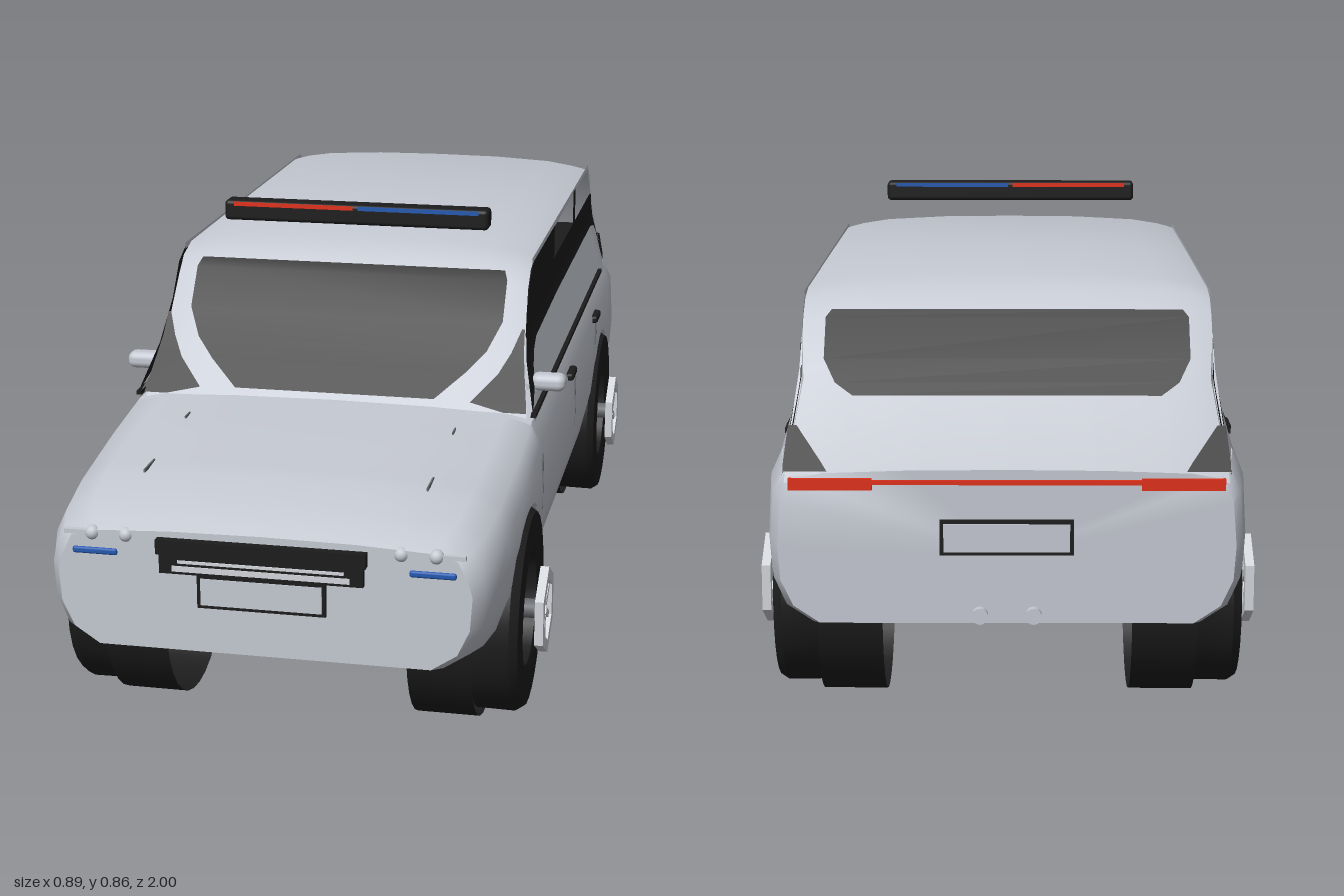
import * as THREE from 'three';
import { toCreasedNormals } from 'three/addons/utils/BufferGeometryUtils.js';
import { RoundedBoxGeometry } from 'three/addons/geometries/RoundedBoxGeometry.js';

const material = (name, color) => {
  const m = new THREE.MeshStandardMaterial({ color, side: THREE.DoubleSide });
  m.name = name;
  return m;
};
const silver = material('silver paint', 0xc4c8d1);
const black = material('black trim', 0x1c1c1c);
const grey = material('dark grey metal', 0x65686c);
const chrome = material('bright metal', 0xd2d5da);
const red = material('red', 0xe0301a);
const blue = material('blue', 0x2459b0);

// Surface through equal-length rows of [x, y, z] points
function grid(rows, crease = 0.6) {
  const n = rows[0].length, index = [];
  for (let i = 0; i < rows.length - 1; i++)
    for (let j = 0; j < n - 1; j++) {
      const a = i * n + j, b = a + n;
      index.push(a, a + 1, b, a + 1, b + 1, b);
    }
  const g = new THREE.BufferGeometry();
  g.setAttribute('position', new THREE.Float32BufferAttribute(rows.flat(2), 3));
  g.setIndex(index);
  return toCreasedNormals(g, crease);
}

// Piecewise linear lookup of column k in rows sorted by their first value
function lookup(table, t, k = 1) {
  let i = 0;
  while (i < table.length - 2 && t > table[i + 1][0]) i++;
  const [a, b] = [table[i], table[i + 1]];
  return THREE.MathUtils.mapLinear(t, a[0], b[0], a[k], b[k]);
}
const steps = n => Array.from({ length: n + 1 }, (_, i) => i / n);

const WHEEL_Y = 0.203, ARCH_R = 0.193, WHEEL_Z = [0.627, -0.627];

// Body sections: z, half width, bottom, shoulder height, centre height
const sections = [
  [-0.985, 0.385, 0.225, 0.475, 0.49], [-0.965, 0.398, 0.222, 0.49, 0.5],
  [-0.9, 0.408, 0.217, 0.505, 0.512], [-0.43, 0.41, 0.18, 0.51, 0.515],
  [0.43, 0.41, 0.18, 0.5, 0.518], [0.6, 0.41, 0.19, 0.48, 0.51],
  [0.8, 0.405, 0.205, 0.455, 0.495], [0.91, 0.395, 0.214, 0.44, 0.475],
  [0.96, 0.38, 0.219, 0.43, 0.455], [0.985, 0.362, 0.224, 0.422, 0.442],
];

// One body outline at z; inside a wheel arch the side is lifted to archY
function bodyRing([z, archY]) {
  const [w, b, s, t] = [1, 2, 3, 4].map(k => lookup(sections, z, k));
  const low = Math.max(archY, b), inner = archY ? 0.22 : w - 0.07;
  const half = [[inner, b], [inner, low], [w - 0.025, Math.max(low, b + 0.03)],
    [w - 0.004, Math.max(low, 0.3)], [w, Math.max(low, 0.36)], [w - 0.006, s - 0.04],
    [w - 0.025, s], [w - 0.075, s + (t - s) * 0.6], [w * 0.45, t - (t - s) * 0.1]];
  const mirrored = half.slice().reverse().map(([x, y]) => [-x, y]);
  return [[0, b], ...half, [0, t], ...mirrored, [0, b]].map(([x, y]) => [x, y, z]);
}

function bodyGeometry() {
  const stations = sections.map(s => [s[0], 0])
    .filter(([z]) => WHEEL_Z.every(c => Math.abs(z - c) > ARCH_R));
  for (const c of WHEEL_Z) {
    stations.push([c - ARCH_R - 0.001, 0], [c + ARCH_R + 0.001, 0]);
    for (const t of steps(16))
      stations.push([c - ARCH_R * Math.cos(t * Math.PI), WHEEL_Y + ARCH_R * Math.sin(t * Math.PI)]);
  }
  const rings = stations.sort((a, b) => a[0] - b[0]).map(bodyRing);
  const cap = r => r.map(p => [0, 0.34, p[2]]);
  return grid([cap(rings[0]), ...rings, cap(rings.at(-1))], 0.9);
}

export function createModel() {
  const car = new THREE.Group();
  car.name = 'car';
  const add = (name, geo, mat, x = 0, y = 0, z = 0, parent = car) => {
    const m = new THREE.Mesh(geo, mat);
    m.name = name;
    m.position.set(x, y, z);
    parent.add(m);
    return m;
  };
  const box = (name, mat, w, h, d, x, y, z, parent) =>
    add(name, new THREE.BoxGeometry(w, h, d), mat, x, y, z, parent);

  add('lowerBody', bodyGeometry(), silver);
  box('floorPan', blue, 0.67, 0.003, 0.86, 0, 0.179, 0);
  box('cabinFloor', black, 0.69, 0.006, 1.05, 0, 0.6, -0.34);

  // Windscreen frame, roof and tailgate in one curved skin: z, y, half width
  const profile = [
    [0.43, 0.515, 0.375], [0.35, 0.61, 0.357], [0.26, 0.73, 0.35], [0.225, 0.76, 0.35],
    [0.17, 0.775, 0.35], [-0.3, 0.777, 0.35], [-0.73, 0.777, 0.35], [-0.785, 0.767, 0.35],
    [-0.825, 0.742, 0.35], [-0.89, 0.662, 0.352], [-0.95, 0.56, 0.365], [-0.985, 0.485, 0.372],
  ];
  const across = [-1, -0.96, -0.9, -0.75, -0.4, 0, 0.4, 0.75, 0.9, 0.96, 1];
  add('roofSkin', grid(profile.map(([z, y, w]) => across.map(f => {
    const crown = y > 0.77 ? 0.008 * (1 - f * f) : 0;
    return [f * w, y + crown - 0.018 * f ** 6, z];
  })), 0.9), silver);

  // Glass follows the skin: y, inner x, outer x
  const frontZ = y => lookup([[0.515, 0.43], [0.61, 0.35], [0.73, 0.26], [0.76, 0.225]], y) + 0.006;
  const rearZ = y => lookup([[0.485, -0.985], [0.56, -0.95], [0.662, -0.89], [0.742, -0.825]], y) - 0.005;
  const glass = (name, rows, zAt) =>
    add(name, grid(rows.map(([y, a, b]) => [[a, y, zAt(y)], [b, y, zAt(y)]])), black);
  glass('windscreen', [[0.53, -0.195, 0.195], [0.575, -0.25, 0.25], [0.61, -0.285, 0.285],
    [0.66, -0.31, 0.31], [0.73, -0.31, 0.31], [0.745, -0.303, 0.303]], frontZ);
  glass('rearGlass', [[0.605, -0.26, 0.26], [0.625, -0.29, 0.29], [0.662, -0.31, 0.31],
    [0.725, -0.31, 0.31], [0.737, -0.3, 0.3]], rearZ);

  // Cabin sides: strips of z, low y, high y, tucked in towards the tail
  const sideX = (y, z) => 0.35 + Math.max(0, 0.63 - y) * 0.29 - Math.max(0, -0.88 - z) * 0.22;
  const strip = (name, mat, cols, s, out = 0) =>
    add(name, grid(cols.map(([z, lo, hi]) => steps(5).map(t => {
      const y = lo + (hi - lo) * t;
      return [s * (sideX(y, z) + out), y, z];
    }))), mat);

  for (const s of [1, -1]) {
    const side = s > 0 ? 'left' : 'right';
    glass(side + 'CornerGlass', [[0.515, s * 0.33, s * 0.374], [0.528, s * 0.265, s * 0.372],
      [0.575, s * 0.312, s * 0.363], [0.61, s * 0.333, s * 0.357], [0.65, s * 0.349, s * 0.354]], frontZ);
    glass(side + 'RearCornerGlass', [[0.488, s * 0.3, s * 0.373], [0.503, s * 0.31, s * 0.373],
      [0.56, s * 0.352, s * 0.366]], rearZ);
    strip(side + 'FrontWindow', black, [[0.425, 0.515, 0.525], [0.36, 0.54, 0.595], [0.3, 0.575, 0.67],
      [0.25, 0.595, 0.733], [0.2, 0.605, 0.755], [-0.13, 0.61, 0.755]], s, 0.003);
    strip(side + 'WindowBand', black, [[-0.13, 0.61, 0.685], [-0.8, 0.61, 0.685], [-0.85, 0.602, 0.68],
      [-0.91, 0.568, 0.635], [-0.95, 0.515, 0.565], [-0.975, 0.478, 0.508]], s, 0.003);
    strip(side + 'DoorPillar', black, [[-0.48, 0.68, 0.757], [-0.52, 0.68, 0.757]], s, 0.002);
    strip(side + 'UpperDoors', silver, [[0.42, 0.495, 0.517], [0.36, 0.495, 0.542], [0.3, 0.495, 0.577],
      [0.2, 0.495, 0.607], [-0.8, 0.495, 0.612], [-0.85, 0.495, 0.604], [-0.91, 0.49, 0.57],
      [-0.96, 0.48, 0.503]], s);
    strip(side + 'RearPillar', silver, [[-0.78, 0.755, 0.762], [-0.825, 0.71, 0.735], [-0.85, 0.675, 0.705],
      [-0.91, 0.6, 0.63], [-0.97, 0.48, 0.515]], s);
    strip(side + 'RoofRail', silver, [[0.21, 0.75, 0.762], [-0.785, 0.75, 0.762]], s, 0.001);

    // Waist line, handles and panel seams
    box(side + 'WaistLine', black, 0.01, 0.008, 1.2, s * 0.387, 0.51, -0.17);
    for (const z of [-0.025, -0.5])
      add(side + 'DoorHandle', new RoundedBoxGeometry(0.018, 0.016, 0.07, 2, 0.006), black, s * 0.407, 0.466, z);
    for (const [z, y, h] of [[-0.093, 0.385, 0.11], [0.44, 0.385, 0.11], [-0.5, 0.425, 0.05]])
      box(side + 'DoorSeam', grey, 0.003, h, 0.003, s * 0.4085, y, z);
    for (const [z, y, d] of [[0.545, 0.507, 0.03], [0.79, 0.488, 0.06]])
      box(side + 'BonnetSeam', grey, 0.003, 0.006, d, s * 0.255, y, z);

    // Door mirror
    add(side + 'Mirror', new RoundedBoxGeometry(0.066, 0.033, 0.04, 3, 0.014), silver, s * 0.403, 0.55, 0.33);
    box(side + 'MirrorArm', silver, 0.03, 0.012, 0.02, s * 0.368, 0.54, 0.33);

    // Front lamps, tail lamps and exhausts
    box(side + 'LampStrip', silver, 0.13, 0.008, 0.01, s * 0.285, 0.428, 0.98);
    for (const x of [0.24, 0.3])
      add(side + 'Headlamp', new THREE.SphereGeometry(0.013, 14, 10), silver, s * x, 0.427, 0.979);
    add(side + 'BlueLamp', new RoundedBoxGeometry(0.08, 0.012, 0.01, 2, 0.004), blue, s * 0.295, 0.396, 0.984);
    box(side + 'TailLamp', red, 0.14, 0.02, 0.012, s * 0.295, 0.466, -0.985);
    const pipe = add(side + 'Exhaust', new THREE.CylinderGeometry(0.014, 0.014, 0.035, 14), silver, s * 0.045, 0.24, -0.982);
    pipe.rotation.x = Math.PI / 2;
  }
  box('tailLampLine', red, 0.46, 0.008, 0.01, 0, 0.469, -0.985);

  // Grille with bright bars
  box('grilleTop', black, 0.366, 0.026, 0.02, 0, 0.416, 0.99);
  box('grille', black, 0.356, 0.036, 0.016, 0, 0.386, 0.988);
  box('grilleBar', chrome, 0.29, 0.005, 0.004, 0, 0.391, 0.997);
  box('grilleLowerBar', chrome, 0.31, 0.01, 0.004, 0, 0.378, 0.996);

  // Blank number plates
  for (const [name, y, s] of [['front', 0.338, 1], ['rear', 0.375, -1]]) {
    box(name + 'PlateFrame', black, 0.225, 0.06, 0.01, 0, y, s * 0.988);
    box(name + 'Plate', silver, 0.212, 0.048, 0.008, 0, y, s * 0.991);
  }

  // Roof light bar, red on the right half and blue on the left
  add('lightBar', new RoundedBoxGeometry(0.53, 0.04, 0.045, 2, 0.008), black, 0, 0.835, 0.2);
  for (const z of [0.1795, 0.2205])
    for (const [mat, x] of [[red, -0.125], [blue, 0.125]])
      box('lightBarLamp', mat, 0.24, 0.008, 0.005, x, 0.8485, z);

  // Wheels, built facing +x and mirrored
  const axial = geo => geo.rotateZ(-Math.PI / 2);
  const tyreProfile = [[0.105, 0.33], [0.187, 0.33], [0.188, 0.4], [0.178, 0.415],
    [0.125, 0.417], [0.105, 0.411], [0.105, 0.33]].map(p => new THREE.Vector2(...p));
  const tyreGeo = axial(toCreasedNormals(new THREE.LatheGeometry(tyreProfile, 28), 0.4));
  const shellGeo = axial(new THREE.CylinderGeometry(0.203, 0.203, 0.115, 32, 1, true));
  const linerGeo = new THREE.CircleGeometry(0.192, 24, 0, Math.PI).rotateY(Math.PI / 2);
  const discGeo = axial(new THREE.CylinderGeometry(0.092, 0.092, 0.014, 28));
  const axleGeo = axial(new THREE.CylinderGeometry(0.018, 0.018, 0.2, 12));
  const hexPoints = r => steps(6).map(t => new THREE.Vector2(0, r).rotateAround(new THREE.Vector2(), t * Math.PI * 2));
  const hexShape = new THREE.Shape(hexPoints(0.084));
  hexShape.holes.push(new THREE.Path(hexPoints(0.06)));
  const hexGeo = new THREE.ExtrudeGeometry(hexShape, { depth: 0.016, bevelEnabled: false }).rotateY(Math.PI / 2);
  for (const s of [1, -1])
    for (const z of WHEEL_Z) {
      const wheel = new THREE.Group();
      wheel.name = (z > 0 ? 'front' : 'rear') + (s > 0 ? 'Left' : 'Right') + 'Wheel';
      wheel.position.set(0, WHEEL_Y, z);
      wheel.scale.x = s;
      car.add(wheel);
      add('tyre', tyreGeo, black, 0, 0, 0, wheel);
      add('innerTread', shellGeo, black, 0.2775, 0, 0, wheel);
      add('archLiner', linerGeo, black, 0.225, 0, 0, wheel);
      add('brakeDisc', discGeo, grey, 0.337, 0, 0, wheel);
      box('caliper', red, 0.02, 0.075, 0.05, 0.354, 0.056, -0.03, wheel);
      add('axle', axleGeo, grey, 0.336, 0, 0, wheel);
      add('hexRim', hexGeo, chrome, 0.431, 0, 0, wheel);
      for (let i = 0; i < 6; i++) {
        const arm = new THREE.Group();
        arm.name = 'spoke';
        arm.rotation.x = i * Math.PI / 3;
        wheel.add(arm);
        box('spokeBar', chrome, 0.01, 0.055, 0.013, 0.437, 0.042, 0, arm);
      }
    }
  return car;
}
